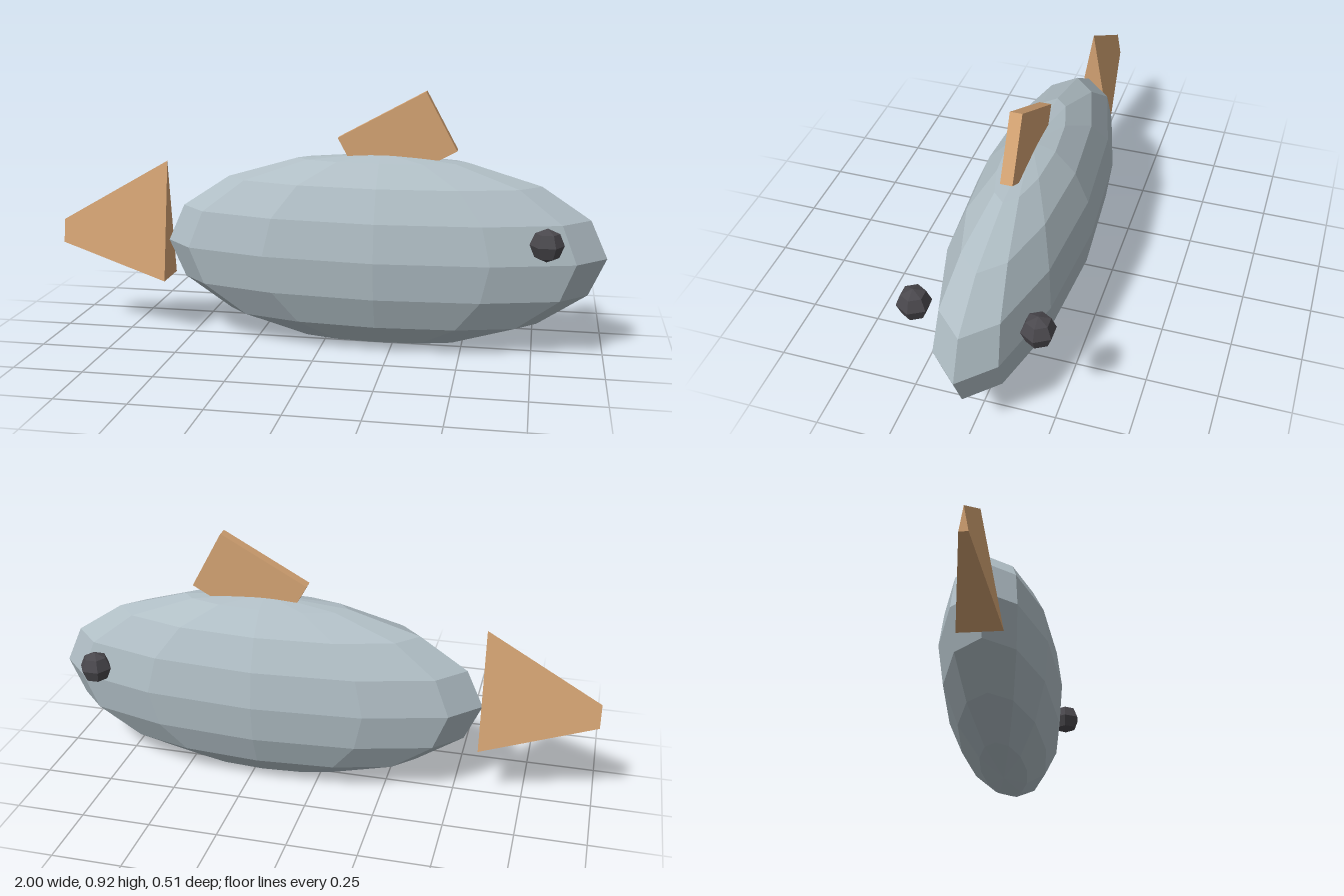
import * as THREE from 'three';

const paint = (name, color) => {
  const m = new THREE.MeshStandardMaterial({ color, flatShading: true });
  m.name = name;
  return m;
};

export function createModel() {
  const group = new THREE.Group();
  group.name = 'fish';
  const bodyGrey = paint('bluish grey', 0xb0bec5);
  const finTan = paint('tan', 0xd4a373);
  const eyeDark = paint('dark grey', 0x4a484d);

  const add = (name, geometry, material, x, y, z) => {
    const mesh = new THREE.Mesh(geometry, material);
    mesh.name = name;
    mesh.position.set(x, y, z);
    group.add(mesh);
    return mesh;
  };

  // Body: low-poly ellipsoid, long along x
  add('body', new THREE.SphereGeometry(1, 12, 8).scale(0.795, 0.352, 0.218), bodyGrey, 0.205, 0.353, 0);

  // Tail: three-sided tapered wedge, ridge on top, wide end at the body
  const tail = new THREE.CylinderGeometry(0.293, 0.057, 0.41, 3, 1, false, -Math.PI / 2);
  tail.rotateZ(-Math.PI / 2).scale(1, 1, 0.295);
  add('tailFin', tail, finTan, -0.795, 0.357, 0);

  // Dorsal fin: tilted slab
  add('dorsalFin', new THREE.BoxGeometry(0.354, 0.234, 0.042), finTan, 0.26, 0.738, 0).rotation.z = 0.5;

  // Eyes
  for (const side of [1, -1]) {
    add(side > 0 ? 'frontEye' : 'backEye', new THREE.SphereGeometry(0.058, 6, 4), eyeDark, 0.79, 0.443, 0.206 * side);
  }
  return group;
}
